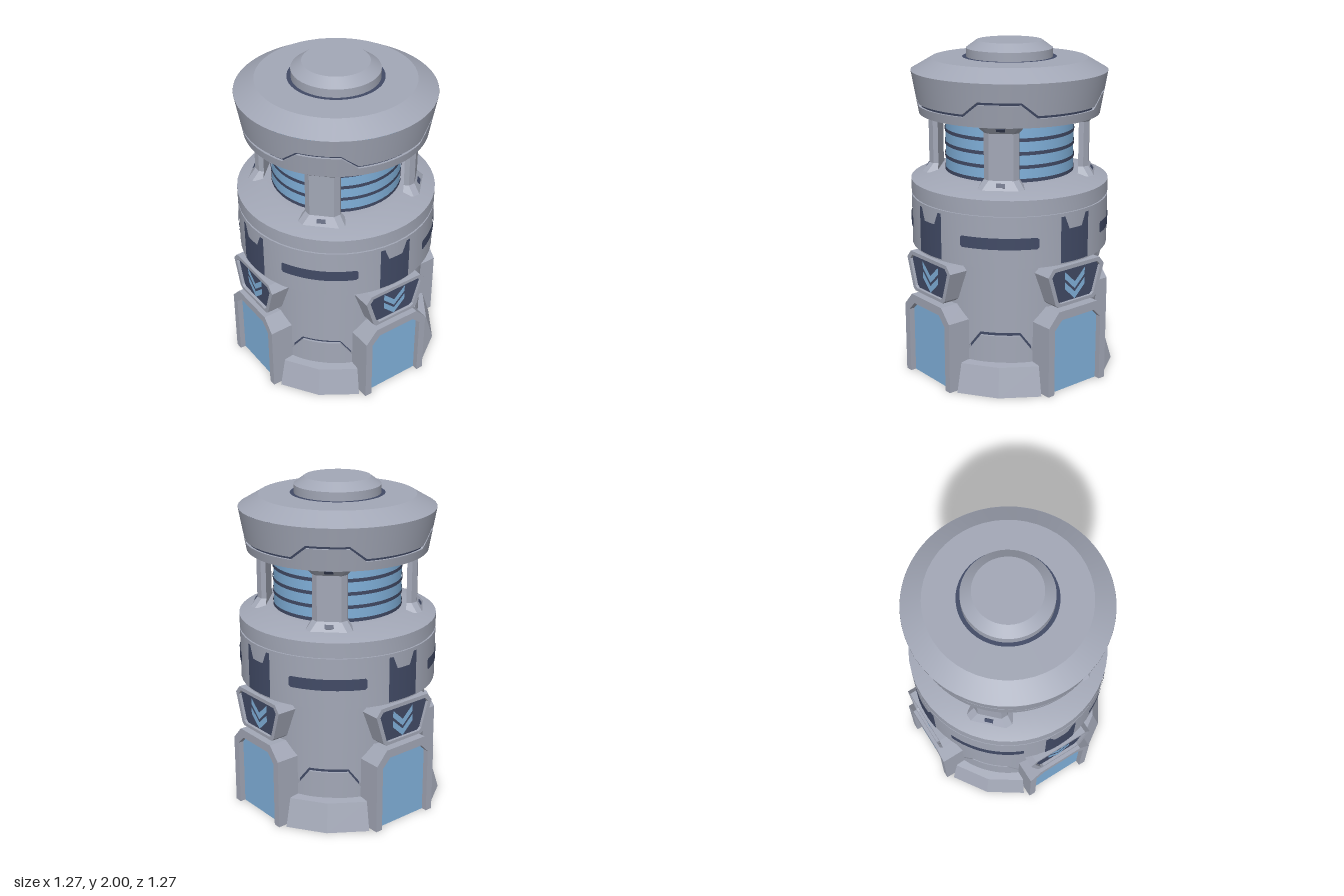
import * as THREE from 'three';
import { toCreasedNormals } from 'three/addons/utils/BufferGeometryUtils.js';

const material = (name, color) =>
  new THREE.MeshStandardMaterial({ name, color, side: THREE.DoubleSide });
const RAD = Math.PI / 180;

// Wall around the y axis: each row gives [radius, y], or a function of the angle in degrees
function wall(rows, from, to, step, crease = 0.5) {
  const pos = [], idx = [], n = Math.round((to - from) / step);
  for (const row of rows) {
    for (let i = 0; i <= n; i++) {
      const a = from + i * step;
      const [r, y] = typeof row === 'function' ? row(a) : row;
      pos.push(r * Math.sin(a * RAD), y, r * Math.cos(a * RAD));
    }
  }
  for (let j = 0; j < rows.length - 1; j++) {
    for (let i = 0; i < n; i++) {
      const p = j * (n + 1) + i, q = p + n + 1;
      idx.push(p, p + 1, q + 1, p, q + 1, q);
    }
  }
  const g = new THREE.BufferGeometry();
  g.setAttribute('position', new THREE.Float32BufferAttribute(pos, 3));
  g.setIndex(idx);
  return toCreasedNormals(g, crease);
}

const lathe = (points) =>
  toCreasedNormals(new THREE.LatheGeometry(points.map(p => new THREE.Vector2(...p)), 48), 0.5);

const shapeOf = (points) => new THREE.Shape(points.map(p => new THREE.Vector2(...p)));

// Mirrors the right half of an outline to the left
const mirrored = (half) => [...half, ...half.map(([x, y]) => [-x, y]).reverse()];

// Line that rises into a flat-topped bump at every diagonal
function bump(a, low, high) {
  const d = Math.abs((((a % 90) + 90) % 90) - 45);
  return low + (high - low) * THREE.MathUtils.clamp((22.5 - d) / 10, 0, 1);
}

export function createModel() {
  const grey = material('grey plating', 0xa2a7b6);
  const navy = material('dark navy', 0x414a65);
  const blue = material('light blue', 0x80b0da);

  const model = new THREE.Group();
  model.name = 'tower';
  const add = (parent, name, geometry, mat) => {
    const mesh = new THREE.Mesh(geometry, mat);
    mesh.name = name;
    parent.add(mesh);
    return mesh;
  };

  // Lower body, split by a recessed groove
  const low = a => bump(a, 0.23, 0.355);
  add(model, 'lowerBody', wall([[0.54, 0], a => [0.54, low(a) - 0.011], a => [0.527, low(a) - 0.011]], 0, 360, 2.5), grey);
  add(model, 'bodyGroove', wall([a => [0.527, low(a) - 0.012], a => [0.527, low(a) + 0.012]], 0, 360, 2.5), navy);
  add(model, 'middleBody', wall([a => [0.527, low(a) + 0.011], a => [0.54, low(a) + 0.011], [0.54, 0.78]], 0, 360, 2.5), grey);

  // Wide ring with a seam and a sloped roof
  add(model, 'upperRing', lathe([[0.54, 0.78], [0.597, 0.78], [0.597, 1.085], [0.587, 1.085],
    [0.587, 1.098], [0.597, 1.098], [0.597, 1.18], [0.44, 1.23], [0.37, 1.23]]), grey);

  // Glowing core with dark bands
  add(model, 'core', new THREE.CylinderGeometry(0.385, 0.385, 0.36, 48, 1, true), blue).position.y = 1.4;
  for (let i = 0; i < 5; i++) {
    add(model, 'coreBand', new THREE.CylinderGeometry(0.39, 0.39, 0.021, 48, 1, true), navy)
      .position.y = 1.241 + i * 0.079;
  }

  // Head, split by a recessed groove
  const headR = y => 0.55 + (y - 1.63) * 0.175;
  const seam = a => bump(a, 1.638, 1.715);
  const headRow = (off, inset) => a => [headR(seam(a) + off) - inset, seam(a) + off];
  add(model, 'headRim', wall([[0.37, 1.578], [0.541, 1.578], headRow(-0.008, 0), headRow(-0.008, 0.014)], 0, 360, 2.5), grey);
  add(model, 'headGroove', wall([headRow(-0.009, 0.014), headRow(0.009, 0.014)], 0, 360, 2.5), navy);
  add(model, 'head', wall([headRow(0.008, 0.014), headRow(0.008, 0), [0.585, 1.83]], 0, 360, 2.5), grey);
  add(model, 'roof', lathe([[0.585, 1.83], [0.465, 1.9], [0, 1.9]]), grey);
  const ring = add(model, 'roofRing', new THREE.RingGeometry(0.25, 0.28, 48), navy);
  ring.rotation.x = -Math.PI / 2;
  ring.position.y = 1.904;
  add(model, 'roofCap', lathe([[0.257, 1.9], [0.257, 1.955], [0.195, 2], [0, 2]]), grey);

  // Pillar: chamfered section lofted between flared ends, [y, half width, outer radius]
  const sections = [[1.215, 0.135, 0.515], [1.265, 0.1, 0.48], [1.535, 0.1, 0.48], [1.58, 0.135, 0.515]];
  const pp = [], pi = [];
  sections.forEach(([y, w, r], j) => {
    const inner = 0.42;
    [[-w, inner], [-w, r - 0.03], [0.03 - w, r], [w - 0.03, r], [w, r - 0.03], [w, inner]]
      .forEach(([x, z]) => pp.push(x, y, z));
    if (j === 0) return;
    for (let k = 0; k < 6; k++) {
      const a = (j - 1) * 6 + k, b = (j - 1) * 6 + (k + 1) % 6;
      pi.push(a, b, b + 6, a, b + 6, a + 6);
    }
  });
  const pillarBase = new THREE.BufferGeometry();
  pillarBase.setAttribute('position', new THREE.Float32BufferAttribute(pp, 3));
  pillarBase.setIndex(pi);
  const pillarGeo = toCreasedNormals(pillarBase, 0.3);

  // Doorway frame, open at the bottom, and its door
  const frameGeo = new THREE.ExtrudeGeometry(shapeOf([
    [-0.225, 0], [-0.18, 0], [-0.18, 0.405], [-0.125, 0.46], [0.125, 0.46], [0.18, 0.405], [0.18, 0],
    [0.225, 0], [0.225, 0.43], [0.15, 0.513], [-0.15, 0.513], [-0.225, 0.43]]),
    { depth: 0.175, bevelEnabled: false });
  const doorGeo = new THREE.ShapeGeometry(shapeOf(mirrored([[0.182, 0], [0.182, 0.406], [0.126, 0.462]])));

  // Shield frame, its plate and chevrons
  const shield = mirrored([[0.14, 0.533], [0.16, 0.55], [0.217, 0.73], [0.18, 0.775]]);
  const plate = mirrored([[0.12, 0.552], [0.138, 0.566], [0.188, 0.724], [0.165, 0.752]]);
  const shieldShape = shapeOf(shield);
  shieldShape.holes.push(new THREE.Path(plate.map(p => new THREE.Vector2(...p))));
  const shieldGeo = new THREE.ExtrudeGeometry(shieldShape, { depth: 0.125, bevelEnabled: false });
  const plateGeo = new THREE.ShapeGeometry(shapeOf(plate));
  const chevronGeo = new THREE.ShapeGeometry(shapeOf(
    [[0, 0.617], [0.077, 0.69], [0.077, 0.732], [0, 0.66], [-0.077, 0.732], [-0.077, 0.69]]));

  // Curved dark plates on the ring
  const notch = a => 1.066 - 0.076 * THREE.MathUtils.clamp((7.5 - Math.abs(a)) / 3, 0, 1);
  const panelGeo = wall([[0.601, 0.79], a => [0.601, notch(a)]], -10, 10, 0.5);
  const slotHalf = a => 0.034 - 0.01 * THREE.MathUtils.clamp(Math.abs(a - 45) - 21, 0, 1);
  const slotGeo = wall([a => [0.601, 0.928 - slotHalf(a)], a => [0.601, 0.928 + slotHalf(a)]], 23, 67, 1);

  // Sloped footing between the doorways
  const baseGeo = wall([[0.647, 0], [0.597, 0.17], [0.535, 0.18]], 18, 72, 27, 0.3);
  const footing = wall([[0.647, 0], [0.597, 0.17], [0.535, 0.18]], 22.5, 67.5, 22.5, 0.3);
  baseGeo.dispose();

  for (let k = 0; k < 4; k++) {
    const side = new THREE.Group();
    side.name = 'side';
    side.rotation.y = k * Math.PI / 2;
    model.add(side);
    add(side, 'doorFrame', frameGeo, grey).position.z = 0.46;
    add(side, 'door', doorGeo, blue).position.z = 0.6;
    add(side, 'shieldFrame', shieldGeo, grey).position.z = 0.49;
    add(side, 'shieldPlate', plateGeo, navy).position.z = 0.597;
    for (const dy of [0, -0.062]) add(side, 'chevron', chevronGeo, blue).position.set(0, dy, 0.601);
    add(side, 'ringPanel', panelGeo, navy);
    add(side, 'ringSlot', slotGeo, navy);
    add(side, 'footing', footing, grey);

    // Diagonal pillar with small dark tabs on its flared ends
    const post = new THREE.Group();
    post.name = 'pillarAssembly';
    post.rotation.y = Math.PI / 4;
    side.add(post);
    add(post, 'pillar', pillarGeo, grey);
    for (const [y, tilt] of [[1.24, -0.61], [1.56, 0.66]]) {
      const tab = add(post, 'pillarTab', new THREE.BoxGeometry(0.05, 0.025, 0.008), navy);
      tab.position.set(0, y, 0.498);
      tab.rotation.x = tilt;
    }
  }
  return model;
}
